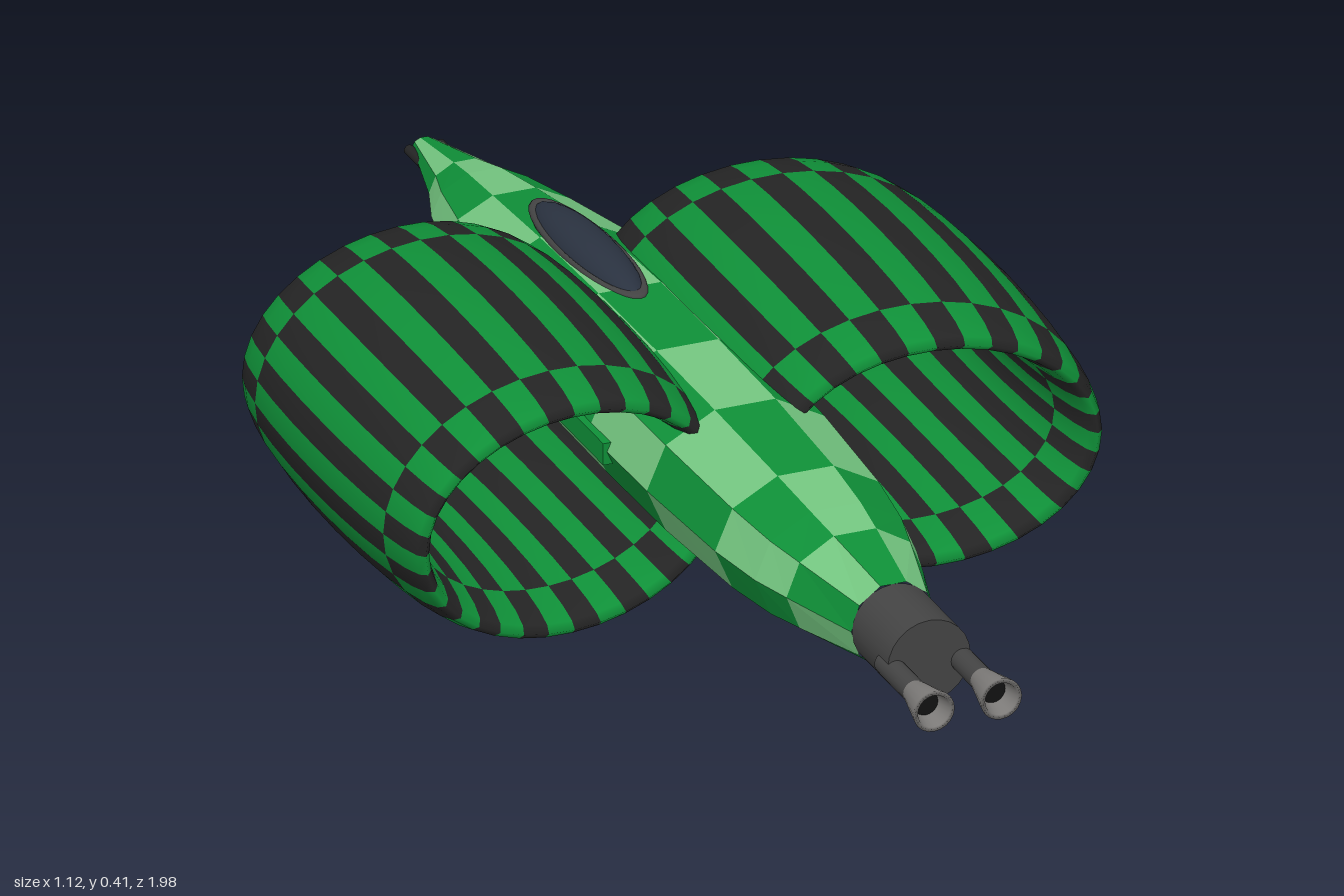
import * as THREE from 'three';

const GREEN = 0x0f9038, LIGHT = 0x74c680, BLACK = 0x242424, DARK = 0x444444;
const CY = 0.215; // height of the main axis

const mat = (color, extra = {}) => new THREE.MeshStandardMaterial({ color, ...extra });

function add(parent, name, geometry, material, x = 0, y = 0, z = 0) {
  const mesh = new THREE.Mesh(geometry, material);
  mesh.name = name;
  mesh.position.set(x, y, z);
  parent.add(mesh);
  return mesh;
}

// Two-coloured grid skin: columns wrap around, rows wrap if asked
function checkeredSkin(name, rows, cols, wrapRows, point, parity, colors, options = {}) {
  const { flip = false, flatShading = false } = options;
  const ringCount = wrapRows ? rows : rows + 1;
  const positions = [], faces = [[], []];
  for (let i = 0; i < ringCount; i++)
    for (let j = 0; j < cols; j++) positions.push(...point(i, j));
  const id = (i, j) => (i % ringCount) * cols + (j % cols);
  for (let i = 0; i < rows; i++)
    for (let j = 0; j < cols; j++) {
      const a = id(i, j), b = id(i, j + 1), c = id(i + 1, j + 1), d = id(i + 1, j);
      faces[parity(i, j) % 2].push(...(flip ? [a, c, b, a, d, c] : [a, b, c, a, c, d]));
    }
  const whole = new THREE.BufferGeometry();
  whole.setAttribute('position', new THREE.Float32BufferAttribute(positions, 3));
  whole.setIndex([...faces[0], ...faces[1]]);
  whole.computeVertexNormals();
  const group = new THREE.Group();
  group.name = name;
  faces.forEach((index, k) => {
    const g = new THREE.BufferGeometry();
    g.setAttribute('position', whole.getAttribute('position'));
    g.setAttribute('normal', whole.getAttribute('normal'));
    g.setIndex(index);
    add(group, name + (k ? 'DarkChecks' : 'LightChecks'), g, mat(colors[k], { flatShading }));
  });
  return group;
}

// Ten-sided fuselage: z, half width, half height, checker row
function fuselage() {
  const rings = [
    [-0.98, 0, 0, 0], [-0.98, 0.018, 0.013, 0], [-0.83, 0.056, 0.044, 1], [-0.76, 0.082, 0.06, 1],
    [-0.65, 0.108, 0.076, 2], [-0.45, 0.148, 0.102, 3], [-0.23, 0.155, 0.112, 4],
    [-0.02, 0.155, 0.115, 5], [0.19, 0.152, 0.114, 6], [0.41, 0.14, 0.106, 7],
    [0.52, 0.125, 0.097, 7], [0.59, 0.106, 0.088, 8], [0.73, 0.065, 0.067, 8],
  ];
  return checkeredSkin('fuselage', rings.length - 1, 10, false, (i, j) => {
    const a = j * Math.PI / 5, [z, rx, ry] = rings[i];
    return [rx * Math.cos(a), CY + ry * Math.sin(a), z];
  }, (i, j) => rings[i][3] + j, [GREEN, LIGHT], { flatShading: true });
}

// Swept elliptical ring wing with a lens-shaped section
function ringWing(side) {
  return checkeredSkin(side > 0 ? 'leftRingWing' : 'rightRingWing', 24, 36, true, (i, j) => {
    const phi = i * Math.PI / 12, theta = j * Math.PI / 18;
    const thick = 0.0375 * Math.cos(phi);
    const x = (0.24 + thick) * Math.cos(theta);
    const y = (0.17 + thick) * Math.sin(theta);
    return [side * (0.28 + x), 0.2075 + y, -0.1 + 0.095 * x + 0.33 * Math.sin(phi)];
  }, (i, j) => Math.floor((i + 3) / 6) % 4 + j, [GREEN, BLACK], { flip: side < 0 });
}

export function createModel() {
  const model = new THREE.Group();
  model.name = 'aircraft';
  model.add(fuselage(), ringWing(1), ringWing(-1));

  // Canopy and its rim
  const canopy = add(model, 'canopy', new THREE.SphereGeometry(1, 24, 16), mat(0x2a3240), 0, 0.309, -0.38);
  canopy.scale.set(0.041, 0.034, 0.182);
  canopy.rotation.x = -0.03;
  const rim = add(model, 'canopyRim', new THREE.TorusGeometry(1, 0.1, 8, 32), mat(DARK), 0, 0.315, -0.38);
  rim.rotation.x = Math.PI / 2 - 0.03;
  rim.scale.set(0.041, 0.175, 0.06);

  // Engine block
  const along = (r0, r1, len, n = 20) => new THREE.CylinderGeometry(r1, r0, len, n).rotateX(Math.PI / 2);
  add(model, 'engineBlock', along(0.064, 0.064, 0.13, 24), mat(DARK), 0, CY, 0.795);

  // Flared nozzle: outer wall, lip and hollow inside
  const nozzleShape = [[0.018, 0], [0.022, 0.02], [0.032, 0.07], [0.025, 0.07], [0.015, 0.02]]
    .map(([r, z]) => new THREE.Vector2(r, z));
  const nozzle = new THREE.LatheGeometry(nozzleShape, 20).rotateX(Math.PI / 2);

  for (const s of [1, -1]) {
    const side = s > 0 ? 'left' : 'right';
    add(model, side + 'ExhaustPipe', along(0.018, 0.018, 0.11), mat(DARK), s * 0.052, 0.207, 0.88);
    add(model, side + 'Nozzle', nozzle, mat(0x7c7a78, { side: THREE.DoubleSide }), s * 0.052, 0.207, 0.93);
    add(model, side + 'NozzleCore', along(0.021, 0.021, 0.004), mat(0x111111), s * 0.052, 0.207, 0.968);
    // Wing root rail and nose guns
    add(model, side + 'RootRail', new THREE.BoxGeometry(0.03, 0.034, 0.3), mat(GREEN), s * 0.145, 0.212, -0.1);
    add(model, side + 'NoseGun', along(0.008, 0.008, 0.05, 10), mat(BLACK), s * 0.024, 0.213, -0.952);
  }
  return model;
}
